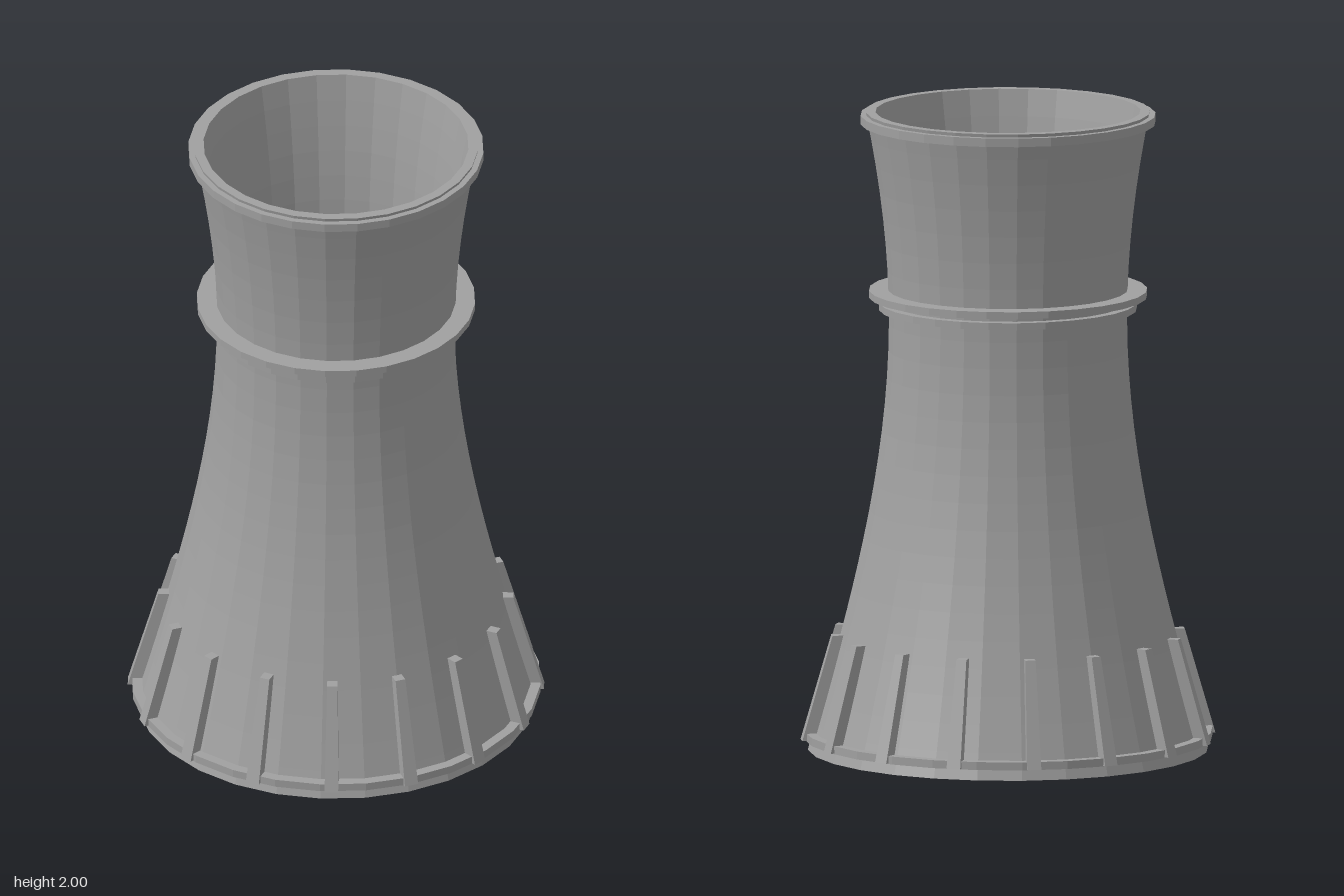
import * as THREE from 'three';

const SIDES = 28, HEIGHT = 2, WALL = 0.03;

// Hyperbolic outer radius, narrowest at the throat
const radiusAt = (y) => 0.37 * Math.sqrt(1 + (y - 1.35) ** 2);

export function createModel() {
  const model = new THREE.Group();
  model.name = 'coolingTower';
  const concrete = new THREE.MeshStandardMaterial({ color: 0xa0a0a0, flatShading: true });
  concrete.name = 'concrete grey';

  const add = (name, geometry, parent = model) => {
    const mesh = new THREE.Mesh(geometry, concrete);
    mesh.name = name;
    parent.add(mesh);
    return mesh;
  };
  const lathe = (points) =>
    new THREE.LatheGeometry(points.map(([r, y]) => new THREE.Vector2(r, y)), SIDES);

  // Hollow shell: up the outside, over the lip, down the inside, closed below
  const outer = [], inner = [], rows = 24;
  for (let i = 0; i <= rows; i++) {
    const y = (HEIGHT * i) / rows;
    outer.push([radiusAt(y), y]);
    inner.unshift([radiusAt(y) - WALL, y]);
  }
  add('shell', lathe([...outer, ...inner, outer[0]]));

  // Flat rings around the shell: name, outer radius, bottom, top
  const rings = [
    ['baseRing', 0.635, 0.035, 0.06],
    ['lowerThroatRing', 0.40, 1.378, 1.4],
    ['upperThroatRing', 0.432, 1.418, 1.44],
    ['topRim', 0.458, 1.963, 1.99],
  ];
  for (const [name, r, y0, y1] of rings) {
    const core = radiusAt((y0 + y1) / 2) - 0.02;
    add(name, lathe([[core, y0], [r, y0], [r, y1], [core, y1], [core, y0]]));
  }

  // Tapered buttress: a box whose corners lean in toward the top
  const buttress = new THREE.BoxGeometry(1, 1, 1);
  const p = buttress.attributes.position;
  for (let i = 0; i < p.count; i++) {
    const top = p.getY(i) > 0, out = p.getZ(i) > 0;
    const r = top ? (out ? 0.55 : 0.505) : (out ? 0.645 : 0.6);
    p.setXYZ(i, p.getX(i) * (top ? 0.032 : 0.044), top ? 0.365 : 0.037, r);
  }
  buttress.computeVertexNormals();

  const buttresses = new THREE.Group();
  buttresses.name = 'buttresses';
  model.add(buttresses);
  for (let i = 0; i < 16; i++) {
    add('buttress', buttress, buttresses).rotation.y = (i * Math.PI) / 8;
  }
  return model;
}
